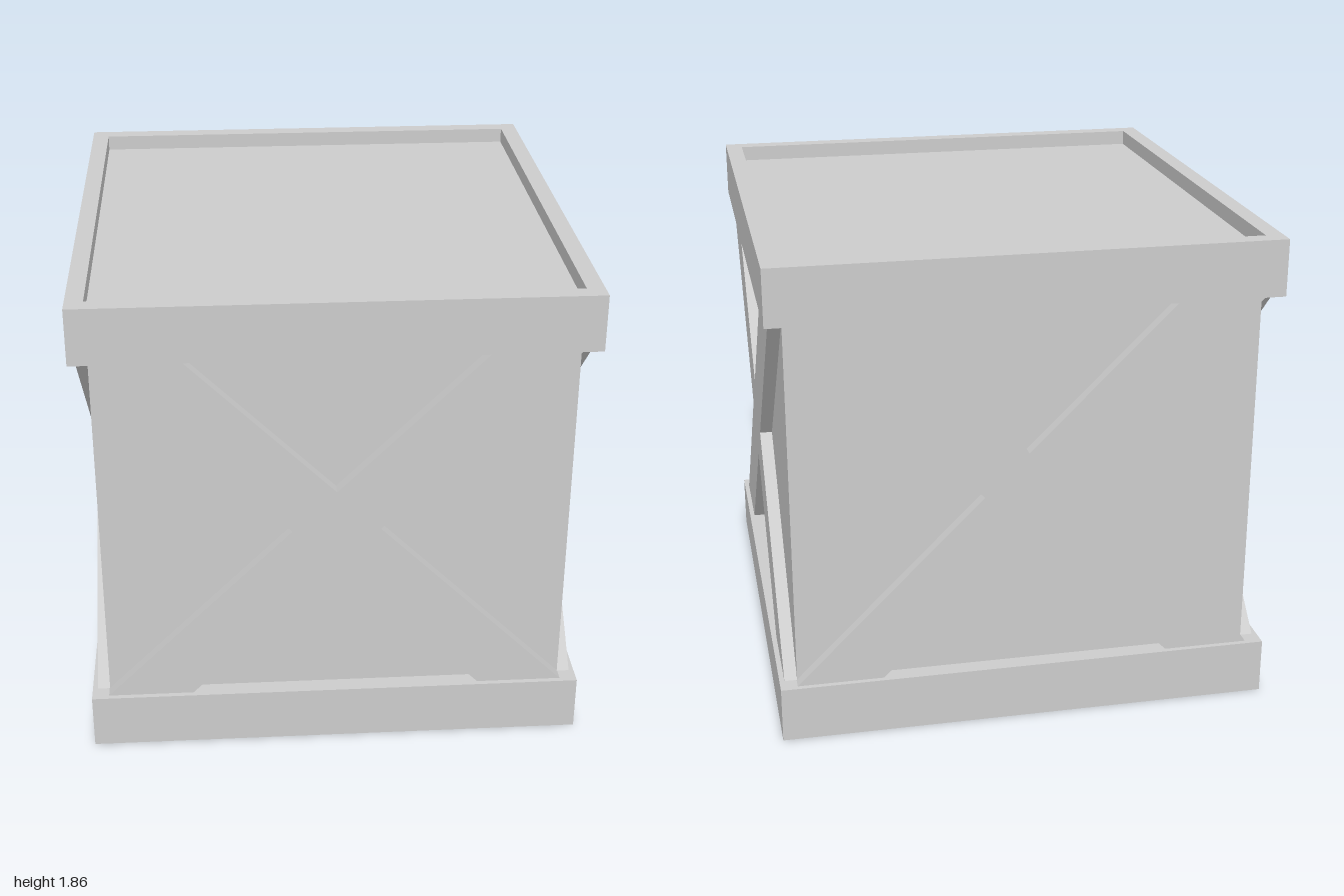
import * as THREE from 'three';

const H = 1.86, BAND = 0.216;          // overall height, height of each rim
const HX = 0.95, HZ = 1;               // half sizes of the rims
const BX = 0.883, BZ = 0.932;          // half sizes of the inner box
const RECESS = 0.06;                   // how far the lids sit inside the rims
const BRACE = 0.048;                   // brace thickness

const material = new THREE.MeshStandardMaterial({ color: 0xcccccc, flatShading: true });

function addMesh(parent, name, geometry) {
  const mesh = new THREE.Mesh(geometry, material);
  mesh.name = name;
  parent.add(mesh);
  return mesh;
}

function rectPoints(x, z) {
  return [[-x, -z], [x, -z], [x, z], [-x, z]].map(([a, b]) => new THREE.Vector2(a, b));
}

// Rectangular rim, open in the middle, standing on y = 0
function rimGeometry() {
  const shape = new THREE.Shape(rectPoints(HX, HZ));
  shape.holes.push(new THREE.Path(rectPoints(BX, BZ).reverse()));
  const geometry = new THREE.ExtrudeGeometry(shape, { depth: BAND, bevelEnabled: false });
  return geometry.rotateX(-Math.PI / 2);
}

// X-shaped brace: notch = half width at the crossing, outer / inner = where its edges meet the rims
function braceGeometry(notch, inner, outer) {
  const h = H / 2 - BAND + 0.005, v = 0.163;
  const quarter = [[notch, 0], [outer, h], [inner, h], [0, v]];
  const mirror = (sx, sy, list) => list.map(([x, y]) => new THREE.Vector2(x * sx, y * sy));
  const points = [
    ...mirror(1, 1, quarter),
    ...mirror(-1, 1, quarter.slice(0, 3).reverse()),
    ...mirror(-1, -1, quarter.slice(1)),
    ...mirror(1, -1, quarter.slice(1, 3).reverse()),
  ];
  return new THREE.ExtrudeGeometry(new THREE.Shape(points), { depth: BRACE, bevelEnabled: false });
}

export function createModel() {
  const crate = new THREE.Group();
  crate.name = 'crate';

  // Inner box with recessed lid and floor
  addMesh(crate, 'innerBox', new THREE.BoxGeometry(BX * 2, H - RECESS * 2, BZ * 2)).position.y = H / 2;

  // Rims
  const rim = rimGeometry();
  addMesh(crate, 'bottomRim', rim);
  addMesh(crate, 'topRim', rim).position.y = H - BAND;

  // Cross braces on the four sides
  const wide = braceGeometry(0.166, 0.562, 0.89);
  const deep = braceGeometry(0.176, 0.588, 0.937);
  ['frontBrace', 'leftBrace', 'backBrace', 'rightBrace'].forEach((name, i) => {
    const side = new THREE.Group();
    side.name = name;
    side.rotation.y = i * Math.PI / 2;
    side.position.y = H / 2;
    addMesh(side, name + 'Cross', i % 2 ? deep : wide).position.z = i % 2 ? BX : BZ;
    crate.add(side);
  });

  return crate;
}
